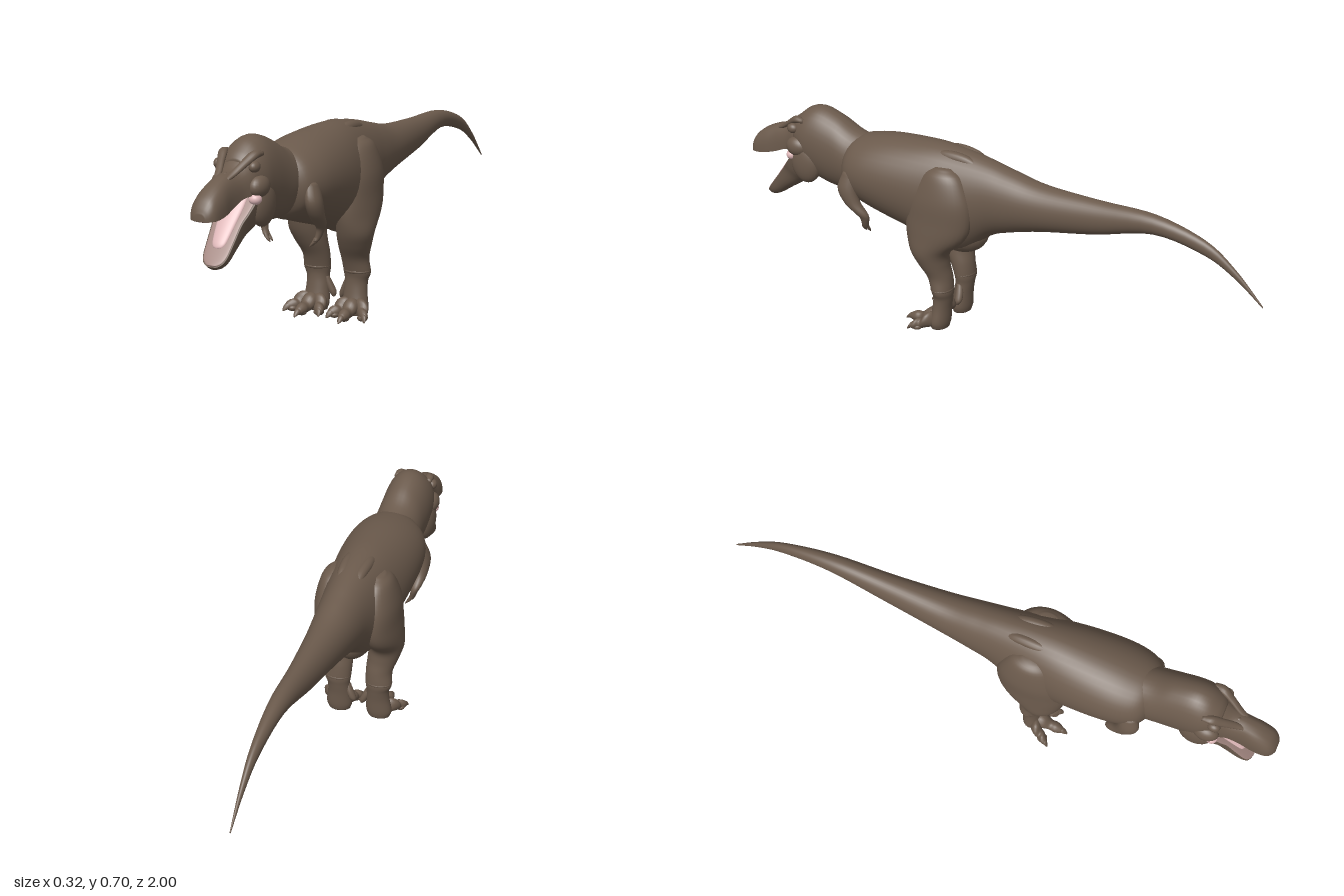
import * as THREE from 'three';

const mat = (name, color) => Object.assign(new THREE.MeshStandardMaterial({ color }), { name });

// Smooth skin through oval rings. Each station is [along, x, b, rx, rb].
// axis 'z': stations rise in z and b is y. axis 'y': stations fall in y and b is z.
function loft(stations, { axis = 'z', up = 1, down = 1, pow = 1, n = 28, steps = 5 } = {}) {
  const curve = (f) => new THREE.CatmullRomCurve3(stations.map(f), false, 'catmullrom', 0.5);
  const centre = curve((s) => new THREE.Vector3(s[1], s[2], s[0]));
  const radius = curve((s) => new THREE.Vector3(s[3], s[4], 0));
  const rows = (stations.length - 1) * steps;
  const pos = [], index = [];
  for (let i = -1; i <= rows + 1; i++) {
    const t = Math.min(Math.max(i / rows, 0), 1);
    const c = centre.getPoint(t), r = radius.getPoint(t);
    const k = i < 0 || i > rows ? 0 : 1; // closed ends
    for (let j = 0; j < n; j++) {
      const a = (j / n) * Math.PI * 2, co = Math.cos(a), si = Math.sin(a);
      const x = c.x + k * Math.max(r.x, 0.0005) * Math.sign(co) * Math.abs(co) ** pow;
      const b = c.y + k * Math.max(r.y, 0.0005) * Math.sign(si) * Math.abs(si) ** pow * (si > 0 ? up : down);
      if (axis === 'z') pos.push(x, b, c.z);
      else pos.push(x, c.z, b);
    }
  }
  for (let i = 0; i < rows + 2; i++) {
    for (let j = 0; j < n; j++) {
      const a = i * n + j, b = i * n + ((j + 1) % n);
      index.push(a, b, a + n, b, b + n, a + n);
    }
  }
  const g = new THREE.BufferGeometry();
  g.setAttribute('position', new THREE.Float32BufferAttribute(pos, 3));
  g.setIndex(index);
  g.computeVertexNormals();
  return g;
}

// [z, top, bottom, half width] to a centred station
const span = ([z, t, b, w]) => [z, 0, (t + b) / 2, w, (t - b) / 2];

export function createModel() {
  const model = new THREE.Group();
  model.name = 'dinosaur';
  const hide = mat('brown hide', 0x6b5a4c);
  const flesh = mat('mouth flesh', 0xa38781);
  const pink = mat('tongue pink', 0xe0b9ba);

  const add = (name, geometry, material = hide, parent = model) => {
    const m = new THREE.Mesh(geometry, material);
    m.name = name;
    parent.add(m);
    return m;
  };
  const blob = (name, p, r, material = hide, parent = model) => {
    const m = add(name, new THREE.SphereGeometry(1, 24, 16), material, parent);
    m.position.set(...p);
    m.scale.set(...r);
    return m;
  };

  // Trunk and tail
  add('bodyAndTail', loft([
    [-1, 0.343, 0.337, 0.002], [-0.9, 0.447, 0.417, 0.009], [-0.79, 0.525, 0.475, 0.017],
    [-0.61, 0.575, 0.508, 0.03], [-0.4, 0.58, 0.46, 0.046], [-0.2, 0.59, 0.425, 0.066],
    [-0.08, 0.615, 0.395, 0.08], [0, 0.635, 0.365, 0.09], [0.1, 0.655, 0.29, 0.11],
    [0.2, 0.665, 0.295, 0.127], [0.3, 0.663, 0.33, 0.138], [0.4, 0.656, 0.36, 0.142],
    [0.48, 0.643, 0.385, 0.136], [0.54, 0.625, 0.405, 0.115], [0.575, 0.59, 0.44, 0.07],
  ].map(span), { n: 40 }));
  blob('lowerBelly', [0, 0.36, 0.13], [0.065, 0.085, 0.11]);

  // Neck and skull
  add('neckAndSkull', loft([
    [0.46, 0.62, 0.43, 0.08], [0.55, 0.643, 0.415, 0.087], [0.62, 0.68, 0.415, 0.086],
    [0.69, 0.703, 0.43, 0.087], [0.74, 0.695, 0.46, 0.084], [0.78, 0.665, 0.52, 0.068],
    [0.8, 0.64, 0.545, 0.045],
  ].map(span), { n: 36 }));

  // Upper jaw with a flat underside
  const snout = [
    [0.72, 0.66, 0.535, 0.08], [0.78, 0.648, 0.535, 0.072], [0.83, 0.615, 0.53, 0.053],
    [0.88, 0.605, 0.51, 0.047], [0.93, 0.585, 0.496, 0.05], [0.97, 0.558, 0.49, 0.047],
    [0.99, 0.532, 0.489, 0.036], [1, 0.51, 0.489, 0.02],
  ];
  add('upperJaw', loft(snout.map(([z, t, b, w]) => [z, 0, b, w, t - b]), { down: 0.03, pow: 0.8 }));
  add('palate', loft(snout.slice(1, 7).map(([z, t, b, w]) => [z, 0, b - 0.001, w * 0.85, 0.004])), flesh);
  for (let i = 0; i < 5; i++) {
    blob('noseBump', [0, 0.605 - i * 0.003 - i * i * 0.0012, 0.85 + i * 0.02], [0.008, 0.006, 0.01]);
  }

  // Lower jaw, hinged open
  const jaw = new THREE.Group();
  jaw.name = 'lowerJaw';
  jaw.position.set(0, 0.52, 0.79);
  jaw.rotation.x = 0.9;
  model.add(jaw);
  const jawShape = [
    [-0.04, 0.07, 0.1], [0, 0.076, 0.12], [0.05, 0.066, 0.1], [0.09, 0.054, 0.08],
    [0.15, 0.049, 0.058], [0.2, 0.044, 0.042], [0.225, 0.033, 0.03], [0.237, 0.016, 0.018],
  ];
  add('jawBone', loft(jawShape.map(([s, w, d]) => [s, 0, 0, w, d]), { up: 0.02, pow: 0.85 }), hide, jaw);
  add('mouthFloor', loft(jawShape.map(([s, w]) => [s - 0.003, 0, 0.002, w * 0.93, 0.004])), flesh, jaw);
  add('tongue', loft([
    [-0.03, 0, 0.004, 0.042, 0.012], [0.03, 0, 0.004, 0.041, 0.013], [0.09, 0, 0.004, 0.034, 0.012],
    [0.15, 0, 0.004, 0.026, 0.01], [0.17, 0, 0.004, 0.018, 0.007], [0.177, 0, 0.004, 0.006, 0.003],
  ]), pink, jaw);

  for (const side of [1, -1]) {
    // Mirror a list of stations by moving its centres across
    const mir = (list) => list.map(([a, x, ...rest]) => [a, x * side, ...rest]);
    const label = side > 0 ? 'left' : 'right';

    // Face
    blob(label + 'JawMuscle', [0.06 * side, 0.5, 0.735], [0.032, 0.075, 0.06]);
    blob(label + 'Cheek', [0.066 * side, 0.558, 0.765], [0.03, 0.036, 0.045]);
    blob(label + 'MouthCorner', [0.067 * side, 0.523, 0.79], [0.021, 0.018, 0.02], pink);
    blob(label + 'EyeLid', [0.063 * side, 0.622, 0.785], [0.017, 0.018, 0.022]);
    add(label + 'Brow', loft(mir([
      [0.74, 0.06, 0.655, 0.01, 0.008], [0.775, 0.055, 0.655, 0.016, 0.013],
      [0.81, 0.042, 0.634, 0.014, 0.012], [0.85, 0.026, 0.607, 0.012, 0.009],
      [0.88, 0.02, 0.592, 0.006, 0.005],
    ]), { n: 16 }));

    // Hip ridge
    add(label + 'HipRidge', loft(mir([
      [0.02, 0.03, 0.605, 0.008, 0.01], [0.08, 0.032, 0.63, 0.018, 0.018],
      [0.16, 0.035, 0.637, 0.02, 0.019], [0.23, 0.035, 0.63, 0.008, 0.01],
    ]), { n: 16 }));

    // Thigh, shin and ankle
    add(label + 'Leg', loft(mir([
      [0.61, 0.075, 0.15, 0.02, 0.03], [0.58, 0.08, 0.15, 0.045, 0.075],
      [0.5, 0.087, 0.155, 0.06, 0.115], [0.42, 0.088, 0.163, 0.063, 0.125],
      [0.36, 0.091, 0.174, 0.063, 0.112], [0.3, 0.092, 0.196, 0.062, 0.074],
      [0.25, 0.084, 0.187, 0.056, 0.057], [0.2, 0.075, 0.168, 0.048, 0.044],
      [0.15, 0.077, 0.157, 0.048, 0.037], [0.12, 0.074, 0.157, 0.041, 0.033],
      [0.08, 0.073, 0.162, 0.042, 0.032], [0.03, 0.075, 0.168, 0.047, 0.034],
      [0.004, 0.075, 0.17, 0.04, 0.03],
    ]), { axis: 'y', n: 32 }));
    blob(label + 'AnkleBand', [0.077 * side, 0.155, 0.158], [0.049, 0.015, 0.039]);

    // Three knuckled toes with claws, and a small hind toe
    const toes = [['inner', 0.055, 0.022, 0.25], ['middle', 0.078, 0.083, 0.285], ['outer', 0.1, 0.147, 0.245]];
    for (const [name, x0, x1, z1] of toes) {
      const at = (t, y, r) => [0.18 + (z1 - 0.18) * t, x0 + (x1 - x0) * t, y, r, r];
      add(`${label}${name}Toe`, loft(mir([
        at(-0.2, 0.025, 0.018), at(0.1, 0.037, 0.028), at(0.35, 0.034, 0.027),
        at(0.55, 0.023, 0.019), at(0.75, 0.022, 0.02), at(0.92, 0.019, 0.015), at(1, 0.018, 0.01),
      ]), { n: 16 }));
      add(`${label}${name}Claw`, loft(mir([
        at(0.85, 0.02, 0.011), at(1, 0.018, 0.011), at(1.1, 0.013, 0.008), at(1.18, 0.006, 0.003),
      ]), { n: 12 }));
      blob(`${label}${name}Pad`, [(x0 + (x1 - x0) * 0.75) * side, 0.012, 0.18 + (z1 - 0.18) * 0.75], [0.018, 0.012, 0.018]);
    }
    add(label + 'HindToe', loft(mir([
      [0.12, 0.04, 0.16, 0.008, 0.01], [0.09, 0.03, 0.155, 0.013, 0.014],
      [0.065, 0.02, 0.153, 0.013, 0.013], [0.05, 0.015, 0.155, 0.005, 0.005],
    ]), { axis: 'y', n: 14 }));

    // Small arm with two fingers
    add(label + 'Shoulder', loft(mir([
      [0.53, 0.105, 0.51, 0.02, 0.03], [0.47, 0.117, 0.52, 0.026, 0.037],
      [0.42, 0.117, 0.502, 0.024, 0.032], [0.385, 0.112, 0.47, 0.019, 0.025],
      [0.365, 0.107, 0.458, 0.014, 0.018], [0.34, 0.1, 0.46, 0.011, 0.013],
      [0.325, 0.093, 0.464, 0.01, 0.013],
    ]), { axis: 'y', n: 18 }));
    for (const dz of [-0.008, 0.008]) {
      add(label + 'Finger', loft(mir([
        [0.335, 0.095, 0.463 + dz * 0.6, 0.007, 0.007], [0.32, 0.088, 0.464 + dz, 0.007, 0.006],
        [0.31, 0.08, 0.465 + dz, 0.005, 0.005], [0.303, 0.074, 0.465 + dz, 0.002, 0.002],
      ]), { axis: 'y', n: 10 }));
    }
  }
  return model;
}
